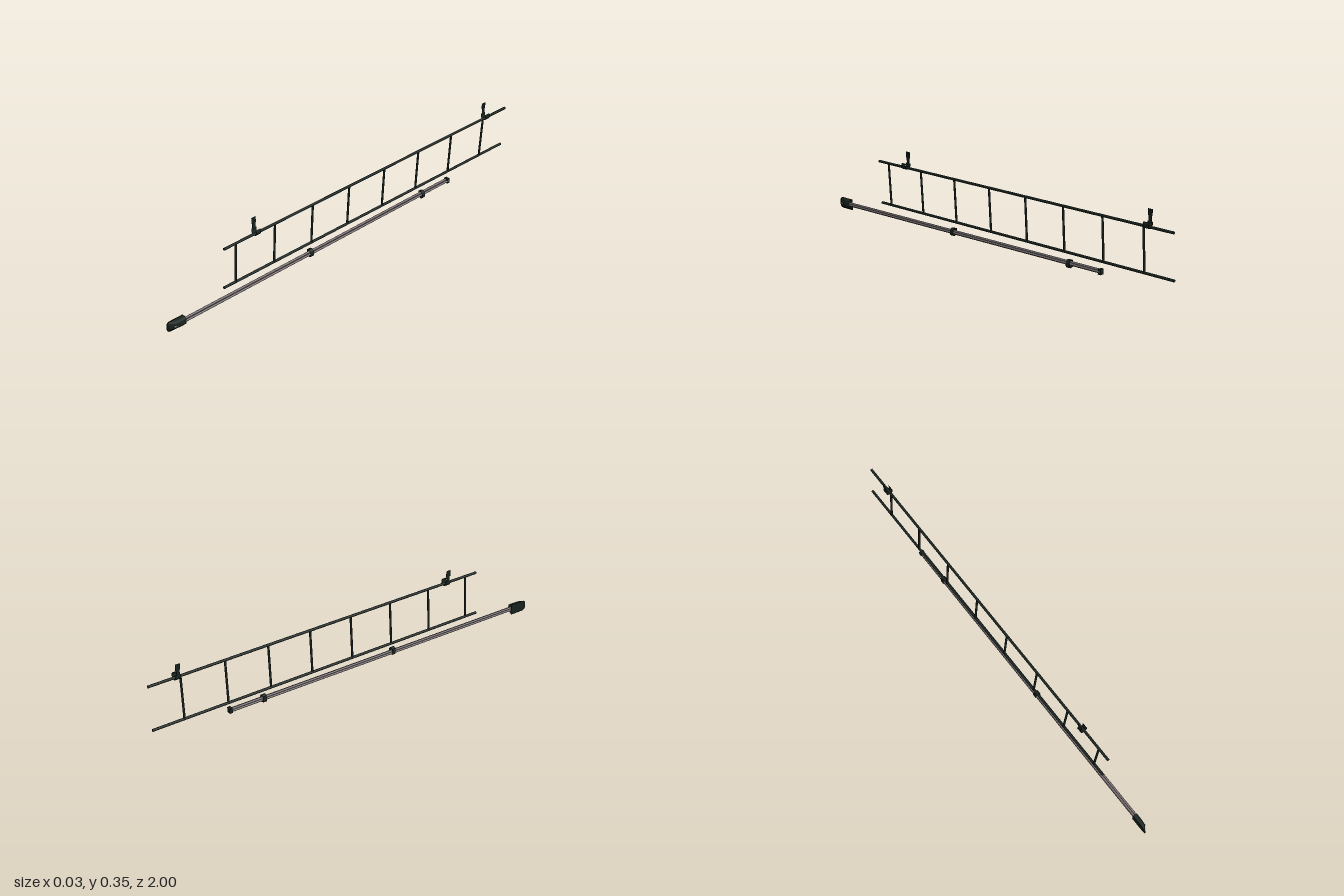
import * as THREE from 'three';

const dark = new THREE.MeshStandardMaterial({ color: 0x17221d });
const darkThin = new THREE.MeshStandardMaterial({ color: 0x17221d, side: THREE.DoubleSide });
const wood = new THREE.MeshStandardMaterial({ color: 0x7a7274 });
const V = (x, y, z) => new THREE.Vector3(x, y, z);

function part(parent, name, geometry, material = dark) {
  const mesh = new THREE.Mesh(geometry, material);
  mesh.name = name;
  parent.add(mesh);
  return mesh;
}

// Round bar between two points
function bar(parent, name, a, b, radius, material = dark, sides = 12) {
  const mesh = part(parent, name, new THREE.CylinderGeometry(radius, radius, a.distanceTo(b), sides), material);
  mesh.position.copy(a).lerp(b, 0.5);
  mesh.quaternion.setFromUnitVectors(V(0, 1, 0), b.clone().sub(a).normalize());
  return mesh;
}

// Sheet-metal strap bent along a path in the xy plane, centred on z
function strap(parent, name, path, width, thickness, closed = false) {
  const curve = new THREE.CatmullRomCurve3(path.map(([x, y]) => V(x, y, 0)), closed, 'centripetal');
  const n = 32, sideA = [], sideB = [];
  for (let i = 0; i <= n; i++) {
    const p = curve.getPointAt(i / n), t = curve.getTangentAt(i / n);
    sideA.push(new THREE.Vector2(p.x - t.y * thickness / 2, p.y + t.x * thickness / 2));
    sideB.push(new THREE.Vector2(p.x + t.y * thickness / 2, p.y - t.x * thickness / 2));
  }
  const shape = new THREE.Shape([...sideA, ...sideB.reverse()]);
  const geometry = new THREE.ExtrudeGeometry(shape, { depth: width, bevelEnabled: false });
  return part(parent, name, geometry.translate(0, 0, -width / 2));
}

function makeLadder() {
  const ladder = new THREE.Group();
  ladder.name = 'ladder';
  const top = [0.002, 0.282], bottom = [-0.0115, 0.08];
  bar(ladder, 'topRail', V(...top, 0.7), V(...top, -1), 0.006);
  bar(ladder, 'bottomRail', V(...bottom, 0.7), V(...bottom, -1), 0.006);
  for (let i = 0; i < 8; i++) {
    const z = 0.637 - i * 0.2123;
    bar(ladder, 'rung', V(...bottom, z), V(...top, z), 0.005);
  }
  return ladder;
}

// J-shaped wall hook with two screws
function makeHook(z) {
  const hook = new THREE.Group();
  hook.name = 'ladderHook';
  part(hook, 'wallPlate', new THREE.BoxGeometry(0.002, 0.028, 0.022)).position.set(-0.015, 0.338, 0);
  part(hook, 'stem', new THREE.BoxGeometry(0.002, 0.03, 0.016)).position.set(-0.015, 0.311, 0);
  strap(hook, 'cradle', [[-0.015, 0.3], [-0.015, 0.288], [-0.01, 0.278], [0, 0.2745],
    [0.01, 0.278], [0.0148, 0.288], [0.0145, 0.296], [0.011, 0.303]], 0.026, 0.002);
  for (const y of [0.33, 0.341]) bar(hook, 'screw', V(-0.016, y, 0), V(-0.0125, y, 0), 0.003);
  hook.position.z = z;
  return hook;
}

// Closed ring bracket around the poles
function makeRing(z) {
  const ring = new THREE.Group();
  ring.name = 'poleBracket';
  strap(ring, 'ringBand', [[-0.0145, 0.044], [-0.009, 0.0515], [-0.002, 0.053], [0.005, 0.047],
    [0.0088, 0.036], [0.0085, 0.026], [0.003, 0.0195], [-0.006, 0.0195], [-0.013, 0.025]], 0.018, 0.002, true);
  part(ring, 'wallTab', new THREE.BoxGeometry(0.002, 0.03, 0.018)).position.set(-0.015, 0.036, 0);
  ring.position.z = z;
  return ring;
}

// Wall pocket that covers the front ends of the poles
function makePocket() {
  const pocket = new THREE.Group();
  pocket.name = 'polePocket';
  const s = new THREE.Shape();
  s.moveTo(-0.915, 0.0);
  s.lineTo(-0.98, 0.0);
  s.quadraticCurveTo(-1, 0.002, -1, 0.018);
  s.lineTo(-1, 0.036);
  s.quadraticCurveTo(-1, 0.051, -0.98, 0.052);
  s.lineTo(-0.915, 0.052);
  const plate = part(pocket, 'backPlate', new THREE.ExtrudeGeometry(s, { depth: 0.002, bevelEnabled: false }));
  plate.rotation.y = Math.PI / 2;
  plate.position.x = -0.016;

  // Shell lofted from [z, depth scale, height scale] sections, closing at the front
  const rows = [[0.915, 1, 1], [0.945, 1, 1], [0.965, 0.92, 0.98], [0.978, 0.7, 0.94],
    [0.988, 0.4, 0.86], [0.995, 0.05, 0.75]];
  const outline = [[0, 0.051], [0.014, 0.05], [0.019, 0.046], [0.022, 0.037], [0.0235, 0.022],
    [0.021, 0.016], [0.015, 0.011], [0.007, 0.006], [0, 0.003]];
  const shell = new THREE.PlaneGeometry(1, 1, outline.length - 1, rows.length - 1);
  const pos = shell.attributes.position;
  rows.forEach(([z, d, h], r) => outline.forEach(([x, y], c) =>
    pos.setXYZ(r * outline.length + c, -0.0155 + x * d, 0.027 + (y - 0.027) * h, z)));
  shell.computeVertexNormals();
  part(pocket, 'pocketShell', shell, darkThin);
  return pocket;
}

export function createModel() {
  const model = new THREE.Group();
  model.name = 'wallLadderAndPoles';
  model.add(makeLadder(), makeHook(0.525), makeHook(-0.868));

  // Bundle of three poles, dipping slightly into the pocket
  const poles = new THREE.Group();
  poles.name = 'poles';
  for (const [x, y] of [[-0.009, 0.032], [-0.009, 0.043], [0.001, 0.0375]]) {
    bar(poles, 'pole', V(x, y - 0.01, 0.975), V(x, y, -0.632), 0.005, wood, 16);
  }
  part(poles, 'endClamp', new THREE.BoxGeometry(0.021, 0.024, 0.014)).position.set(-0.0055, 0.0375, -0.628);

  model.add(poles, makeRing(0.225), makeRing(-0.46), makePocket());
  return model;
}
